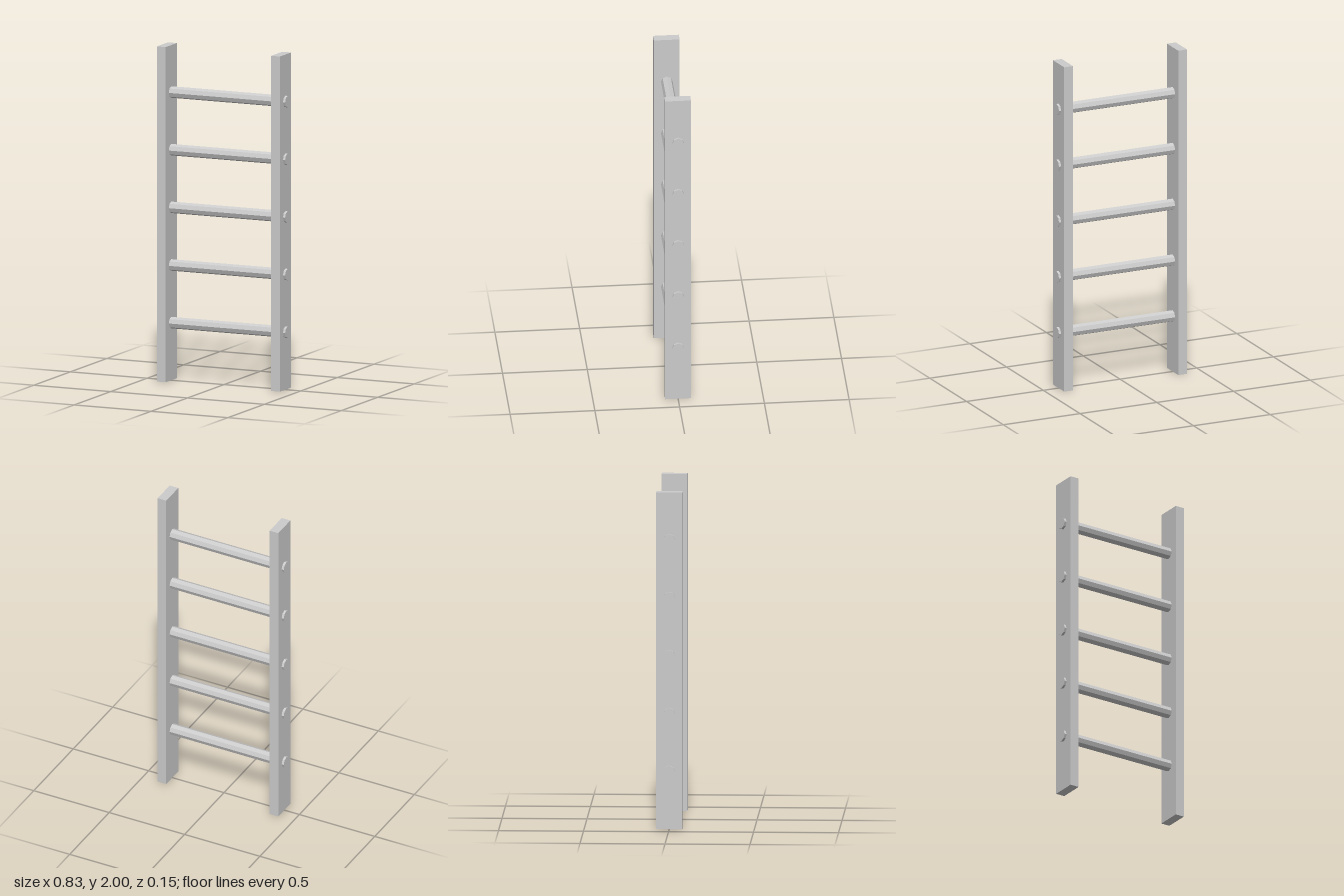
import * as THREE from 'three';

export function createModel() {
  const ladder = new THREE.Group();
  ladder.name = 'ladder';
  const material = new THREE.MeshStandardMaterial({ color: 0xcccccc, flatShading: true });

  // Upright side rails
  const railGeometry = new THREE.BoxGeometry(0.057, 2, 0.153);
  for (const side of [-1, 1]) {
    const rail = new THREE.Mesh(railGeometry, material);
    rail.name = side > 0 ? 'leftRail' : 'rightRail';
    rail.position.set(side * 0.3715, 1, 0);
    ladder.add(rail);
  }

  // Eight-sided rungs, ends poking through the rails
  const rungGeometry = new THREE.CylinderGeometry(0.0344, 0.0344, 0.828, 8).rotateZ(Math.PI / 2);
  for (let i = 1; i <= 5; i++) {
    const rung = new THREE.Mesh(rungGeometry, material);
    rung.name = `rung${i}`;
    rung.position.y = i * 0.344;
    ladder.add(rung);
  }

  return ladder;
}
